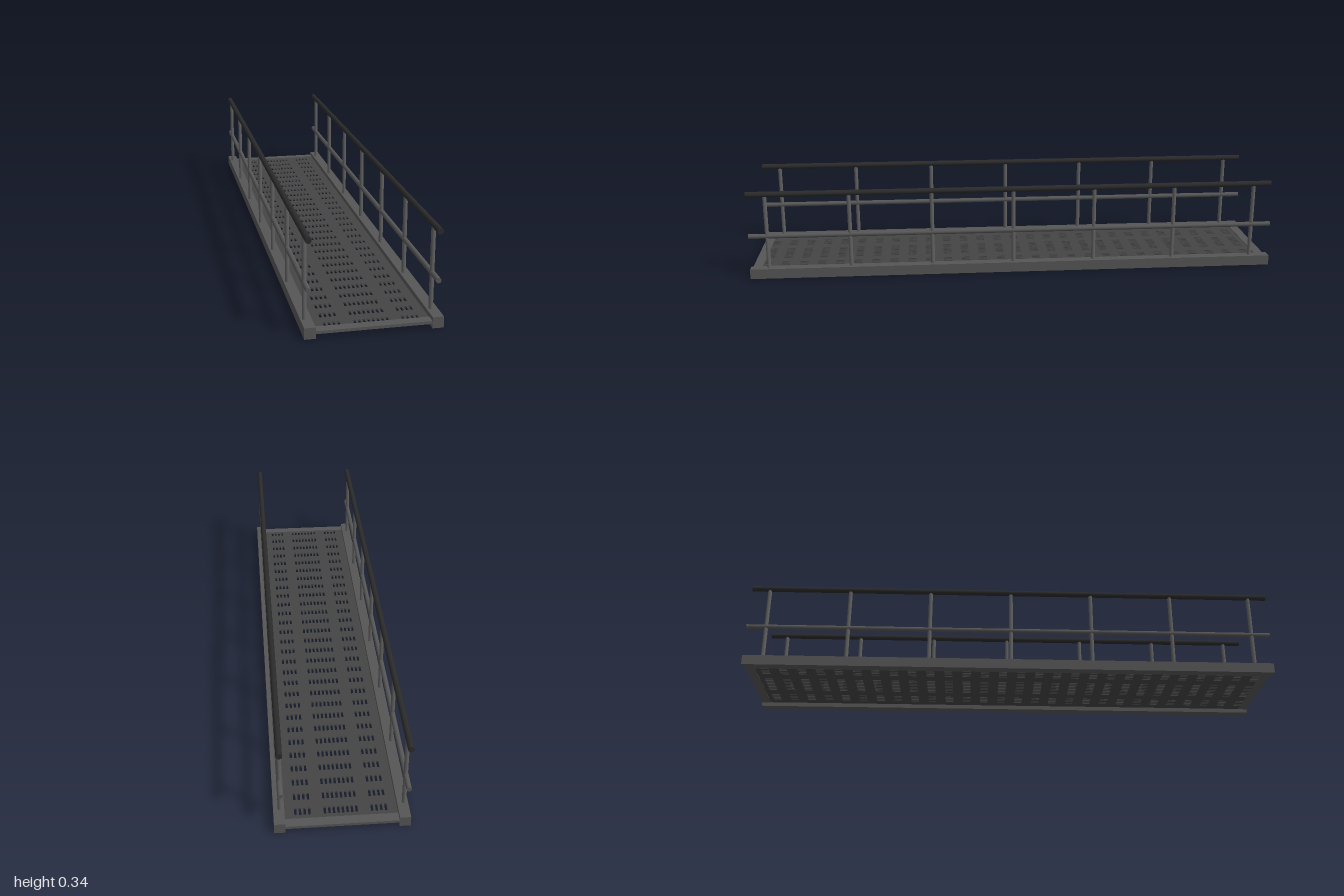
import * as THREE from 'three';

const paint = (color) => new THREE.MeshStandardMaterial({ color });

export function createModel() {
  const model = new THREE.Group();
  model.name = 'walkway';
  const frameMat = paint(0x555555);
  const deckMat = paint(0x444444);
  const postMat = paint(0x606060);
  const handrailMat = paint(0x2a2a2a);

  const add = (parent, name, geometry, material, x, y, z) => {
    const mesh = new THREE.Mesh(geometry, material);
    mesh.name = name;
    mesh.position.set(x, y, z);
    parent.add(mesh);
    return mesh;
  };

  // Perforated deck plate: rows of slots in three bands
  const plate = new THREE.Shape();
  plate.moveTo(-0.195, -0.966).lineTo(0.195, -0.966).lineTo(0.195, 0.966).lineTo(-0.195, 0.966).closePath();
  const columns = [];
  for (let i = 0; i < 8; i++) columns.push((i - 3.5) * 0.0151);
  for (let i = 0; i < 4; i++) columns.push(-0.151 + i * 0.0155, 0.151 - i * 0.0155);
  const rows = 28, w = 0.004, l = 0.0155;
  for (let r = 0; r < rows; r++) {
    const z = -0.93 + (r * 1.88) / (rows - 1);
    for (const x of columns) {
      const slot = new THREE.Path();
      slot.moveTo(x - w, z - l).lineTo(x - w, z + l).lineTo(x + w, z + l).lineTo(x + w, z - l).closePath();
      plate.holes.push(slot);
    }
  }
  const plateGeometry = new THREE.ExtrudeGeometry(plate, { depth: 0.006, bevelEnabled: false });
  plateGeometry.rotateX(Math.PI / 2);
  add(model, 'deckPlate', plateGeometry, deckMat, 0, 0.022, 0);

  // Flat bars closing the two ends of the deck
  for (const s of [-1, 1]) {
    add(model, s > 0 ? 'frontEndBar' : 'backEndBar',
      new THREE.BoxGeometry(0.39, 0.01, 0.035), frameMat, 0, 0.02, s * 0.9815);
  }

  // Side beams with their railings
  const rail = (radius, length) => new THREE.CylinderGeometry(radius, radius, length, 20).rotateX(Math.PI / 2);
  const sides = [
    { name: 'left', beamX: 0.206, railX: 0.202 },
    { name: 'right', beamX: -0.207, railX: -0.212 },
  ];
  for (const { name, beamX, railX } of sides) {
    const side = new THREE.Group();
    side.name = name + 'Side';
    model.add(side);
    add(side, 'sideBeam', new THREE.BoxGeometry(0.037, 0.038, 2), frameMat, beamX, 0.019, 0);
    add(side, 'handrail', rail(0.0105, 1.993), handrailMat, railX, 0.325, 0.0035);
    add(side, 'midRail', rail(0.009, 2), frameMat, railX, 0.162, 0);
    for (let i = -3; i <= 3; i++) {
      add(side, 'post', new THREE.CylinderGeometry(0.0075, 0.0075, 0.295, 16), postMat,
        railX, 0.1775, i * 0.3095 + 0.002);
    }
  }
  return model;
}
